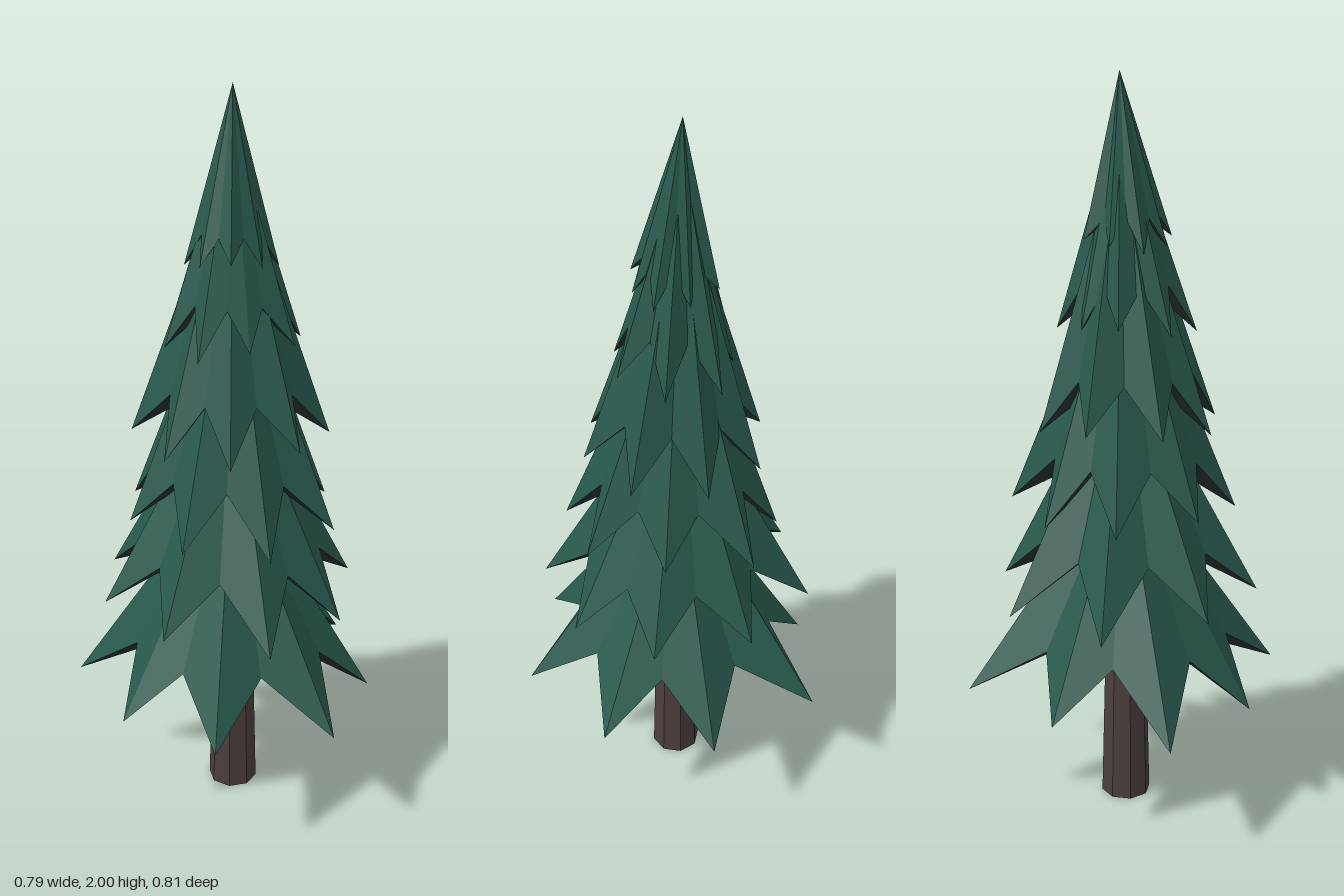
import * as THREE from 'three';

const needleGreen = new THREE.MeshStandardMaterial({ color: 0x28584c, flatShading: true });
needleGreen.name = 'needle green';
const underside = new THREE.MeshStandardMaterial({ color: 0x252e31, flatShading: true });
underside.name = 'shaded underside';
const bark = new THREE.MeshStandardMaterial({ color: 0x4b3e3c, flatShading: true });
bark.name = 'bark brown';

// Tiers from bottom to top: tip height, apex height, turn in degrees,
// valley radius ratio, valley rise, tip radii
const TIERS = [
  { y: 0.355, top: 0.99, turn: -20, ratio: 0.66, rise: 0.145, radii: [0.415, 0.39, 0.43, 0.425, 0.38, 0.44, 0.385, 0.45] },
  { y: 0.63, top: 1.30, turn: 4, ratio: 0.67, rise: 0.14, radii: [0.345, 0.336, 0.376, 0.355, 0.357, 0.394, 0.38, 0.35] },
  { y: 0.87, top: 1.62, turn: 0, ratio: 0.69, rise: 0.14, radii: [0.275, 0.30, 0.30, 0.29, 0.285, 0.30, 0.28, 0.32] },
  { y: 1.10, top: 1.84, turn: 20, ratio: 0.68, rise: 0.13, radii: [0.26, 0.25, 0.25, 0.24, 0.265, 0.245, 0.245, 0.25] },
  { y: 1.36, top: 1.92, turn: 2, ratio: 0.68, rise: 0.11, radii: [0.19, 0.18, 0.155, 0.18, 0.18, 0.18, 0.15, 0.19] },
  { y: 1.57, top: 2.0, turn: 20, ratio: 0.7, rise: 0.07, radii: [0.12, 0.11, 0.12, 0.11, 0.12, 0.11, 0.12, 0.11] },
];

function surface(triangles, material, name) {
  const geometry = new THREE.BufferGeometry().setFromPoints(triangles);
  geometry.computeVertexNormals();
  const mesh = new THREE.Mesh(geometry, material);
  mesh.name = name;
  return mesh;
}

// Star-shaped skirt of drooping branch tips with a hollowed underside
function branchTier({ y, top, turn, ratio, rise, radii }, index) {
  const n = radii.length;
  const mean = radii.reduce((a, b) => a + b) / n;
  const rim = [];
  for (let i = 0; i < n * 2; i++) {
    const a = THREE.MathUtils.degToRad(turn + (i * 180) / n);
    const valley = i % 2 === 1;
    const r = valley ? mean * ratio : radii[i / 2];
    const h = valley ? y + rise : y + 0.015 * Math.sin(i * 2.3 + index);
    rim.push(new THREE.Vector3(r * Math.cos(a), h, r * Math.sin(a)));
  }
  const lean = top / 2;
  const apex = new THREE.Vector3(0.01 * lean, top, -0.02 * lean);
  const hollow = new THREE.Vector3(0, y + rise + 0.03, 0);
  const upper = [], lower = [];
  rim.forEach((p, i) => {
    const q = rim[(i + 1) % rim.length];
    upper.push(apex, q, p);
    lower.push(hollow, p, q);
  });
  const tier = new THREE.Group();
  tier.name = 'branchTier' + (index + 1);
  tier.add(surface(upper, needleGreen, 'needles'), surface(lower, underside, 'branchUnderside'));
  return tier;
}

export function createModel() {
  const tree = new THREE.Group();
  tree.name = 'pineTree';

  // Tapered trunk
  const trunk = new THREE.Mesh(new THREE.CylinderGeometry(0.054, 0.069, 0.6, 8), bark);
  trunk.name = 'trunk';
  trunk.position.set(0.006, 0.3, -0.004);
  trunk.rotation.y = 0.3;
  tree.add(trunk);

  // Stacked branch tiers
  TIERS.forEach((tier, i) => tree.add(branchTier(tier, i)));
  return tree;
}
